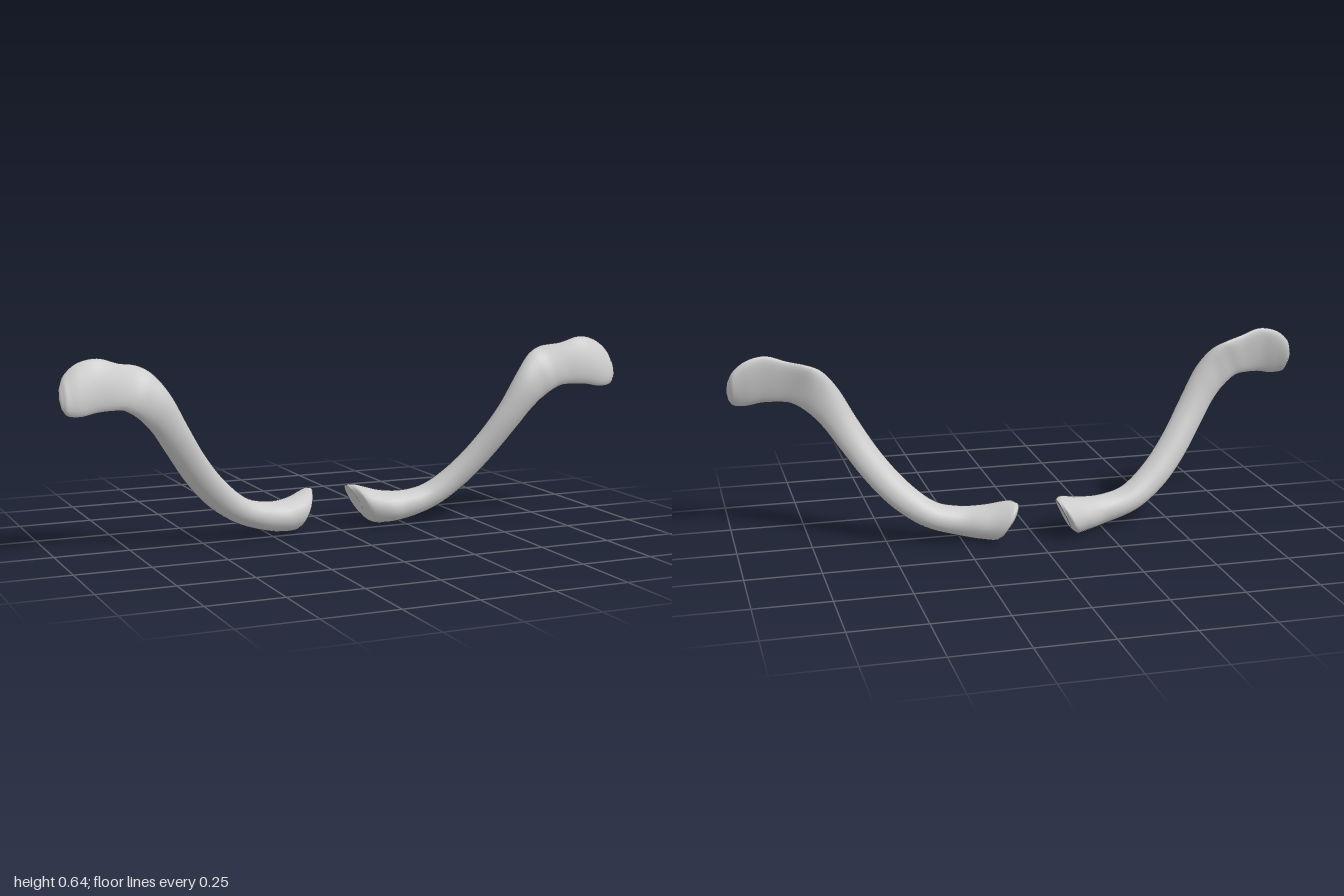
import * as THREE from 'three';

// Cross-sections from the inner end to the outer end:
// [upper edge x, y, z], [lower edge x, y, z], half depth, hollow of the back face
const SECTIONS = [
  [[0.066, 0.135, -0.11], [0.118, 0.03, -0.09], 0.05, 0],
  [[0.085, 0.14, -0.095], [0.145, 0.005, -0.075], 0.08, 0],
  [[0.17, 0.12, -0.055], [0.19, 0.004, -0.052], 0.073, 0],
  [[0.25, 0.117, -0.035], [0.265, 0.017, -0.035], 0.056, 0],
  [[0.33, 0.135, -0.022], [0.375, 0.054, -0.03], 0.052, 0],
  [[0.42, 0.205, 0.008], [0.475, 0.122, -0.014], 0.045, 0],
  [[0.5, 0.3, 0.042], [0.56, 0.212, 0.015], 0.042, 0],
  [[0.57, 0.41, 0.075], [0.645, 0.33, 0.058], 0.042, 0],
  [[0.635, 0.525, 0.085], [0.695, 0.4, 0.083], 0.044, 0.1],
  [[0.69, 0.59, 0.07], [0.74, 0.445, 0.1], 0.042, 0.3],
  [[0.735, 0.613, 0.062], [0.79, 0.475, 0.115], 0.037, 0.5],
  [[0.8, 0.625, 0.088], [0.835, 0.479, 0.125], 0.031, 0.4],
  [[0.87, 0.645, 0.098], [0.885, 0.477, 0.135], 0.03, 0.3],
  [[0.935, 0.632, 0.095], [0.937, 0.468, 0.14], 0.032, 0.2],
  [[0.978, 0.597, 0.1], [0.978, 0.474, 0.137], 0.028, 0],
  [[0.996, 0.56, 0.112], [0.994, 0.495, 0.134], 0.014, 0],
];
const STEPS = 75;
const SIDES = 24;

// Lofts smooth rings through the sections; side is +1 (left) or -1 (right)
function boneGeometry(side) {
  const curve = (pick) => new THREE.CatmullRomCurve3(SECTIONS.map(pick));
  const upper = curve((s) => new THREE.Vector3(...s[0]));
  const lower = curve((s) => new THREE.Vector3(...s[1]));
  const last = SECTIONS.length - 1;
  const positions = [];
  const index = [];
  const add = (p) => positions.push(p.x * side, p.y, p.z);
  const face = (a, b, c) => (side > 0 ? index.push(a, b, c) : index.push(a, c, b));
  const centres = [];

  for (let i = 0; i <= STEPS; i++) {
    const t = i / STEPS;
    const k = Math.min(Math.floor(t * last), last - 1);
    const f = THREE.MathUtils.smoothstep(t * last - k, 0, 1);
    const depth = THREE.MathUtils.lerp(SECTIONS[k][2], SECTIONS[k + 1][2], f);
    const hollow = THREE.MathUtils.lerp(SECTIONS[k][3], SECTIONS[k + 1][3], f);
    const top = upper.getPoint(t);
    const bottom = lower.getPoint(t);
    const centre = top.clone().add(bottom).multiplyScalar(0.5);
    const half = top.clone().sub(bottom).multiplyScalar(0.5);
    centres.push(centre);
    for (let j = 0; j < SIDES; j++) {
      const angle = (j / SIDES) * Math.PI * 2;
      const p = centre.clone().addScaledVector(half, Math.cos(angle));
      const s = Math.sin(angle);
      p.z += depth * (s < 0 ? s * (1 + hollow * s) : s);
      add(p);
    }
  }

  // Skin between neighbouring rings
  for (let i = 0; i < STEPS; i++) {
    for (let j = 0; j < SIDES; j++) {
      const a = i * SIDES + j;
      const b = i * SIDES + ((j + 1) % SIDES);
      face(a, b, a + SIDES);
      face(b, b + SIDES, a + SIDES);
    }
  }

  // Slightly dished inner end and domed outer end
  const inner = positions.length / 3;
  add(centres[0].clone().add(new THREE.Vector3(0.006, 0.003, 0)));
  add(centres[STEPS].clone().add(new THREE.Vector3(0.005, 0, 0)));
  const outerRing = STEPS * SIDES;
  for (let j = 0; j < SIDES; j++) {
    const n = (j + 1) % SIDES;
    face(inner, n, j);
    face(inner + 1, outerRing + j, outerRing + n);
  }

  const geometry = new THREE.BufferGeometry();
  geometry.setAttribute('position', new THREE.Float32BufferAttribute(positions, 3));
  geometry.setIndex(index);
  geometry.computeVertexNormals();
  return geometry;
}

export function createModel() {
  const model = new THREE.Group();
  model.name = 'collarbones';
  const material = new THREE.MeshStandardMaterial({ color: 0xcccccc });
  for (const [name, side] of [['leftCollarbone', 1], ['rightCollarbone', -1]]) {
    const bone = new THREE.Mesh(boneGeometry(side), material);
    bone.name = name;
    model.add(bone);
  }
  return model;
}
